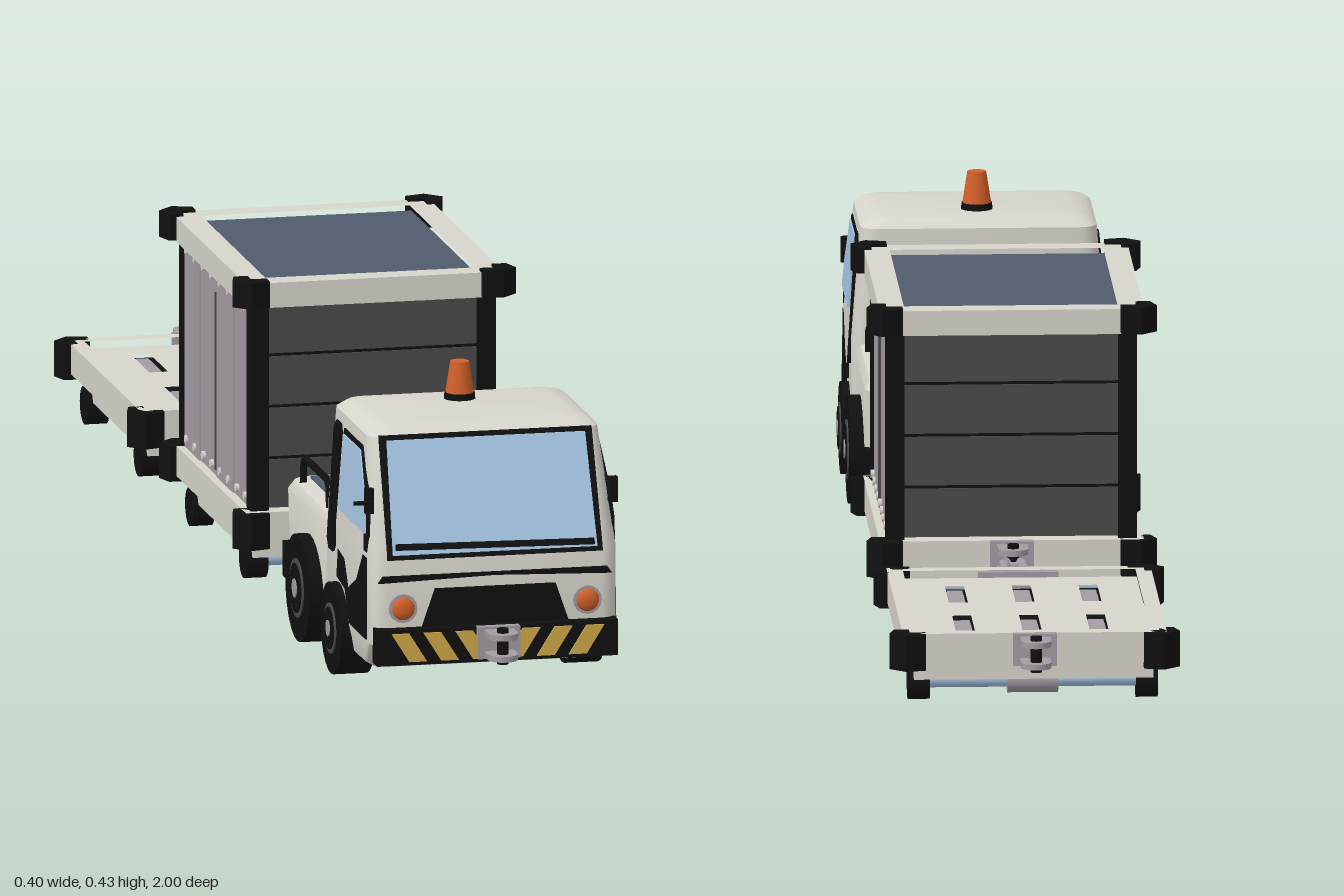
import * as THREE from 'three';
import { toCreasedNormals } from 'three/addons/utils/BufferGeometryUtils.js';

const mat = (name, color) => {
  const m = new THREE.MeshStandardMaterial({ color });
  m.name = name;
  return m;
};
const M = {
  white: mat('offWhitePaint', 0xd6d4cb), black: mat('blackRubber', 0x0f100f),
  glass: mat('paleBlueGlass', 0xa5c4e2), slate: mat('slatePanel', 0x515b6c),
  grey: mat('lilacGrey', 0xa39ca3), dark: mat('darkGreySlat', 0x4a4a4a),
  orange: mat('orangeLamp', 0xd2602a), yellow: mat('yellowStripe', 0xd0aa48),
};

function add(parent, name, geo, material, x = 0, y = 0, z = 0) {
  const mesh = new THREE.Mesh(geo, material);
  mesh.name = name;
  mesh.position.set(x, y, z);
  parent.add(mesh);
  return mesh;
}
const box = (p, name, m, w, h, d, x, y, z) => add(p, name, new THREE.BoxGeometry(w, h, d), m, x, y, z);
const cylX = (r, w, n = 24) => new THREE.CylinderGeometry(r, r, w, n).rotateZ(Math.PI / 2);
const poly = pts => new THREE.Shape(pts.map(([a, b]) => new THREE.Vector2(a, b)));
const rect = (w, d, x = 0, y = 0) => [[x - w, y - d], [x + w, y - d], [x + w, y + d], [x - w, y + d]];
const extrude = (shape, depth) => new THREE.ExtrudeGeometry(shape, { depth, bevelEnabled: false });

// Horizontal slab from an (x, z) outline with optional holes
function slab(outline, holes, h) {
  const flip = pts => pts.map(([x, z]) => [x, -z]);
  const s = poly(flip(outline));
  s.holes = holes.map(hole => poly(flip(hole)));
  return extrude(s, h).rotateX(-Math.PI / 2);
}

// Straight bar between two points
function bar(p, name, m, a, b, r) {
  const from = new THREE.Vector3(...a), to = new THREE.Vector3(...b);
  return add(p, name, new THREE.TubeGeometry(new THREE.LineCurve3(from, to), 1, r, 8), m);
}

// Vertical loft of rounded rectangles: rows of [y, zFront, zBack, halfWidth, cornerRadius]
function loft(rows) {
  const pos = [], idx = [], n = 6, ring = 4 * n;
  for (const [y, zf, zb, hw, r] of rows) {
    for (let q = 0; q < 4; q++) for (let k = 0; k < n; k++) {
      const a = (q + k / (n - 1)) * Math.PI / 2;
      const right = q === 0 || q === 3, front = q < 2;
      pos.push((right ? hw - r : r - hw) + r * Math.cos(a), y, (front ? zf - r : zb + r) + r * Math.sin(a));
    }
  }
  rows.slice(1).forEach((_, i) => {
    for (let j = 0; j < ring; j++) {
      const a = i * ring + j, b = i * ring + (j + 1) % ring;
      idx.push(a, a + ring, b, b, a + ring, b + ring);
    }
  });
  const top = (rows.length - 1) * ring;
  for (let j = 1; j < ring - 1; j++) idx.push(0, j, j + 1, top, top + j + 1, top + j);
  const g = new THREE.BufferGeometry();
  g.setAttribute('position', new THREE.Float32BufferAttribute(pos, 3));
  g.setIndex(idx);
  return toCreasedNormals(g, 0.6);
}

// Cab surface rules used to lay plates on the slanted walls
const rise = y => Math.max(0, y - 0.205) / 0.155;
const frontZ = y => 0.93 - 0.062 * rise(y);
const sideX = y => 0.175 - 0.012 * rise(y);

function frontPlate(p, name, m, pts, lift) {
  const g = extrude(poly(pts), 0.004), a = g.attributes.position;
  for (let i = 0; i < a.count; i++) a.setZ(i, a.getZ(i) + frontZ(a.getY(i)) + lift - 0.003);
  g.computeVertexNormals();
  add(p, name, g, m);
}
function sidePlate(p, name, m, pts, lift) {
  for (const s of [1, -1]) {
    const g = extrude(poly(pts.map(([z, y]) => [-z, y])), 0.004).rotateY(Math.PI / 2);
    const a = g.attributes.position;
    for (let i = 0; i < a.count; i++) a.setX(i, a.getX(i) + sideX(a.getY(i)) + lift - 0.003);
    if (s < 0) g.rotateY(Math.PI).translate(0, 0, 0);
    // the half turn mirrors z as well, so restore it and reverse the corners
    if (s < 0) {
      for (let i = 0; i < a.count; i++) a.setZ(i, -a.getZ(i));
      for (let i = 0; i < a.count; i += 3) {
        const u = [a.getX(i), a.getY(i), a.getZ(i)];
        a.setXYZ(i, a.getX(i + 1), a.getY(i + 1), a.getZ(i + 1));
        a.setXYZ(i + 1, ...u);
      }
    }
    g.computeVertexNormals();
    add(p, name, g, m);
  }
}

// Tow clevis reaching from z by len (signed)
function towHook(p, z, len) {
  const d = Math.sign(len), g = new THREE.Group();
  g.name = 'towHook';
  p.add(g);
  box(g, 'hookBase', M.grey, 0.06, 0.045, 0.012, 0, 0.083, z);
  for (const y of [0.068, 0.098]) {
    box(g, 'hookJaw', M.grey, 0.042, 0.008, Math.abs(len) - 0.02, 0, y, z + (len - d * 0.02) / 2);
    add(g, 'hookJawTip', new THREE.CylinderGeometry(0.021, 0.021, 0.008, 16), M.grey, 0, y, z + len - d * 0.021);
  }
  add(g, 'hookPin', new THREE.CylinderGeometry(0.008, 0.008, 0.05, 10), M.black, 0, 0.083, z + len - d * 0.021);
}

function bumper(p, z, dir) {
  box(p, 'bumper', M.black, 0.34, 0.05, 0.03, 0, 0.08, z - dir * 0.015);
  for (const s of [1, -1]) for (const c of [0.02, 0.065, 0.11]) {
    const pts = [[c + 0.015, 0.1], [c + 0.04, 0.1], [c + 0.015, 0.06], [c - 0.01, 0.06]];
    const g = extrude(poly(pts.map(([x, y]) => [x * s, y])), 0.003);
    add(p, 'warningStripe', g, M.yellow, 0, 0, dir > 0 ? z : z - 0.003);
  }
}

function makeTug() {
  const g = new THREE.Group();
  g.name = 'towTractor';
  add(g, 'cab', loft([[0.03, 0.84, 0.62, 0.15, 0.02], [0.045, 0.89, 0.625, 0.168, 0.025],
    [0.08, 0.93, 0.63, 0.175, 0.025], [0.205, 0.93, 0.636, 0.175, 0.025], [0.36, 0.868, 0.64, 0.163, 0.025],
    [0.37, 0.852, 0.65, 0.152, 0.03], [0.374, 0.825, 0.67, 0.13, 0.03]]), M.white);
  add(g, 'rearBody', loft([[0.03, 0.7, 0.4, 0.15, 0.02], [0.05, 0.7, 0.372, 0.166, 0.025],
    [0.185, 0.7, 0.37, 0.17, 0.025], [0.198, 0.7, 0.378, 0.163, 0.025], [0.2, 0.7, 0.385, 0.157, 0.02]]), M.white);
  box(g, 'cargoBed', M.slate, 0.28, 0.006, 0.235, 0, 0.2, 0.518);

  // Windscreen, wiper, grille and seam
  frontPlate(g, 'windscreenTrim', M.black, [[-0.152, 0.2], [0.152, 0.2], [0.15, 0.362], [-0.15, 0.362]], 0.001);
  frontPlate(g, 'windscreen', M.glass, [[-0.144, 0.207], [0.144, 0.207], [0.14, 0.356], [-0.14, 0.356]], 0.003);
  frontPlate(g, 'wiper', M.black, [[-0.14, 0.214], [0.14, 0.21], [0.14, 0.218], [-0.14, 0.222]], 0.006);
  frontPlate(g, 'bonnetSeam', M.black, [[-0.165, 0.168], [0, 0.173], [0.165, 0.168], [0.158, 0.178], [-0.158, 0.178]], 0.001);
  frontPlate(g, 'grille', M.black, [[-0.105, 0.1], [0.105, 0.1], [0.085, 0.158], [-0.085, 0.158]], 0.002);

  // Doors and side windows
  sidePlate(g, 'doorPanel', M.black, [[0.905, 0.085], [0.905, 0.24], [0.895, 0.275], [0.838, 0.343], [0.724, 0.343],
    [0.724, 0.135], [0.775, 0.128], [0.805, 0.085]], 0.001);
  sidePlate(g, 'doorWindow', M.glass, [[0.895, 0.232], [0.885, 0.272], [0.834, 0.336], [0.732, 0.336], [0.732, 0.232]], 0.003);
  sidePlate(g, 'rearQuarterPanel', M.black, [[0.712, 0.175], [0.703, 0.165], [0.678, 0.165], [0.668, 0.178],
    [0.668, 0.334], [0.678, 0.345], [0.703, 0.345], [0.712, 0.335]], 0.002);
  box(g, 'rearWindowTrim', M.black, 0.09, 0.036, 0.006, 0, 0.298, 0.638);
  box(g, 'rearWindow', M.glass, 0.08, 0.028, 0.006, 0, 0.298, 0.636);

  // Beacon
  add(g, 'beaconBase', new THREE.CylinderGeometry(0.021, 0.022, 0.012, 20), M.black, 0, 0.377, 0.71);
  add(g, 'beacon', new THREE.CylinderGeometry(0.013, 0.02, 0.045, 20), M.orange, 0, 0.404, 0.71);

  bumper(g, 0.947, 1);
  bumper(g, 0.358, -1);
  towHook(g, 0.95, 0.05);
  towHook(g, 0.357, -0.062);

  for (const s of [1, -1]) {
    for (const [z, r] of [[0.733, 0.064], [0.525, 0.075]]) {
      add(g, 'tyre', cylX(r, 0.048), M.black, s * 0.163, r, z);
      add(g, 'wheelRim', cylX(r * 0.55, 0.004), M.dark, s * 0.187, r, z);
      add(g, 'wheelDish', cylX(r * 0.46, 0.004), M.black, s * 0.1885, r, z);
      add(g, 'wheelHub', cylX(r * 0.18, 0.006, 12), M.grey, s * 0.189, r, z);
    }
    for (const [z, d] of [[0.931, 1], [0.369, -1]]) {
      add(g, 'lampBezel', new THREE.CylinderGeometry(0.02, 0.02, 0.006, 16).rotateX(Math.PI / 2), M.grey, s * 0.13, 0.132, z);
      add(g, 'lamp', new THREE.SphereGeometry(0.016, 16, 10).scale(1, 1, 0.5), M.orange, s * 0.13, 0.132, z + d * 0.003);
    }
    // Bed rail
    const path = [[0.585, 0.19], [0.58, 0.228], [0.565, 0.236], [0.44, 0.236], [0.425, 0.228], [0.42, 0.19]];
    const curve = new THREE.CatmullRomCurve3(path.map(([z, y]) => new THREE.Vector3(s * 0.155, y, z)), false, 'catmullrom', 0.2);
    add(g, 'bedRail', new THREE.TubeGeometry(curve, 30, 0.005, 8), M.black);
    box(g, 'mirror', M.black, 0.012, 0.035, 0.012, s * 0.172, 0.28, 0.905);
  }
  bar(g, 'mirrorArm', M.black, [-0.17, 0.278, 0.91], [-0.2, 0.282, 0.925], 0.003);
  box(g, 'tailRail', M.black, 0.18, 0.012, 0.006, 0, 0.208, 0.388);
  return g;
}

// Chamfered L-shaped corner guards at all four corners
function cornerGuards(p, y, h) {
  for (const sx of [1, -1]) for (const sz of [1, -1]) {
    const pts = [[0.15, 0.242], [0.178, 0.25], [0.2, 0.228], [0.192, 0.2], [0.172, 0.2], [0.172, 0.222], [0.15, 0.222]];
    add(p, 'cornerGuard', slab(pts.map(([x, z]) => [x * sx, z * sz]), [], h), M.black, 0, y, 0);
  }
}

// Wheeled base shared by both trailers, centred on z = 0
function makeTrailer(name, z) {
  const g = new THREE.Group();
  g.name = name;
  g.position.z = z;
  add(g, 'baseRim', slab(rect(0.182, 0.234), [rect(0.16, 0.212)], 0.042), M.white, 0, 0.063, 0);
  add(g, 'baseSkirt', slab(rect(0.165, 0.205), [rect(0.15, 0.19)], 0.035), M.white, 0, 0.035, 0);
  const slots = [];
  for (const x of [-0.092, 0, 0.092]) for (const sz of [-0.11, 0.1]) slots.push(rect(0.013, 0.058, x, sz));
  add(g, 'deck', slab(rect(0.162, 0.214), slots, 0.012), M.white, 0, 0.082, 0);
  add(g, 'underTray', slab(rect(0.155, 0.2), slots, 0.01), M.black, 0, 0.071, 0);
  for (const s of slots) box(g, 'deckSlot', M.grey, 0.022, 0.016, 0.112, (s[0][0] + s[1][0]) / 2, 0.08, (s[0][1] + s[2][1]) / 2);
  cornerGuards(g, 0.055, 0.05);
  for (const az of [0.172, -0.163]) {
    add(g, 'axle', cylX(0.012, 0.29, 12), M.glass, 0, 0.028, az);
    add(g, 'axleBlock', cylX(0.018, 0.07, 12), M.grey, 0, 0.026, az);
    box(g, 'axleMount', M.grey, 0.05, 0.045, 0.025, 0, 0.052, az);
    for (const s of [1, -1]) add(g, 'casterWheel', cylX(0.027, 0.03, 16), M.black, s * 0.157, 0.027, az);
  }
  // Forked drawbar with a coupling eye
  box(g, 'drawbarBracket', M.grey, 0.11, 0.03, 0.012, 0, 0.083, 0.238);
  for (const s of [1, -1]) {
    bar(g, 'drawbarFork', M.grey, [s * 0.042, 0.083, 0.235], [s * 0.04, 0.083, 0.275], 0.009);
    bar(g, 'drawbarFork', M.grey, [s * 0.04, 0.083, 0.273], [s * 0.016, 0.083, 0.305], 0.009);
    bar(g, 'drawbarShaft', M.grey, [s * 0.015, 0.083, 0.3], [s * 0.012, 0.083, 0.355], 0.008);
  }
  box(g, 'drawbarBridge', M.grey, 0.045, 0.014, 0.014, 0, 0.083, 0.305);
  add(g, 'couplingEye', new THREE.TorusGeometry(0.015, 0.006, 8, 20).rotateX(Math.PI / 2), M.grey, 0, 0.083, 0.365);
  towHook(g, -0.238, -0.057);
  return g;
}

// Enclosed cargo box on top of a trailer base
function addCargoBox(g) {
  box(g, 'boxFloor', M.white, 0.33, 0.01, 0.43, 0, 0.1, 0);
  for (const s of [1, -1]) {
    for (let i = 0; i < 4; i++) {
      box(g, 'endSlat', M.dark, 0.31, 0.068, 0.016, 0, 0.141 + i * 0.0725, s * 0.207);
      box(g, 'slatGroove', M.black, 0.31, 0.006, 0.012, 0, 0.178 + i * 0.0725, s * 0.207);
      box(g, 'curtainPanel', M.grey, 0.012, 0.29, 0.102, s * (i % 2 ? 0.163 : 0.165), 0.25, -0.156 + i * 0.104);
    }
    box(g, 'curtainSeam', M.dark, 0.004, 0.25, 0.005, s * 0.171, 0.24, 0);
    for (const y of [0.118, 0.384]) for (let i = 0; i < 8; i++)
      add(g, 'curtainStud', cylX(0.006, 0.006, 8), M.white, s * 0.171, y, -0.182 + i * 0.052);
    for (const z of [0.211, -0.211]) box(g, 'cornerPost', M.black, 0.026, 0.3, 0.026, s * 0.16, 0.25, z);
  }
  add(g, 'roofFrame', slab(rect(0.182, 0.234), [rect(0.147, 0.2)], 0.035), M.white, 0, 0.393, 0);
  box(g, 'roofPanel', M.slate, 0.3, 0.016, 0.405, 0, 0.412, 0);
  cornerGuards(g, 0.395, 0.037);
}

export function createModel() {
  const model = new THREE.Group();
  model.name = 'baggageTrain';
  const covered = makeTrailer('coveredTrailer', -0.05);
  addCargoBox(covered);
  model.add(makeTug(), covered, makeTrailer('flatTrailer', -0.705));
  return model;
}
